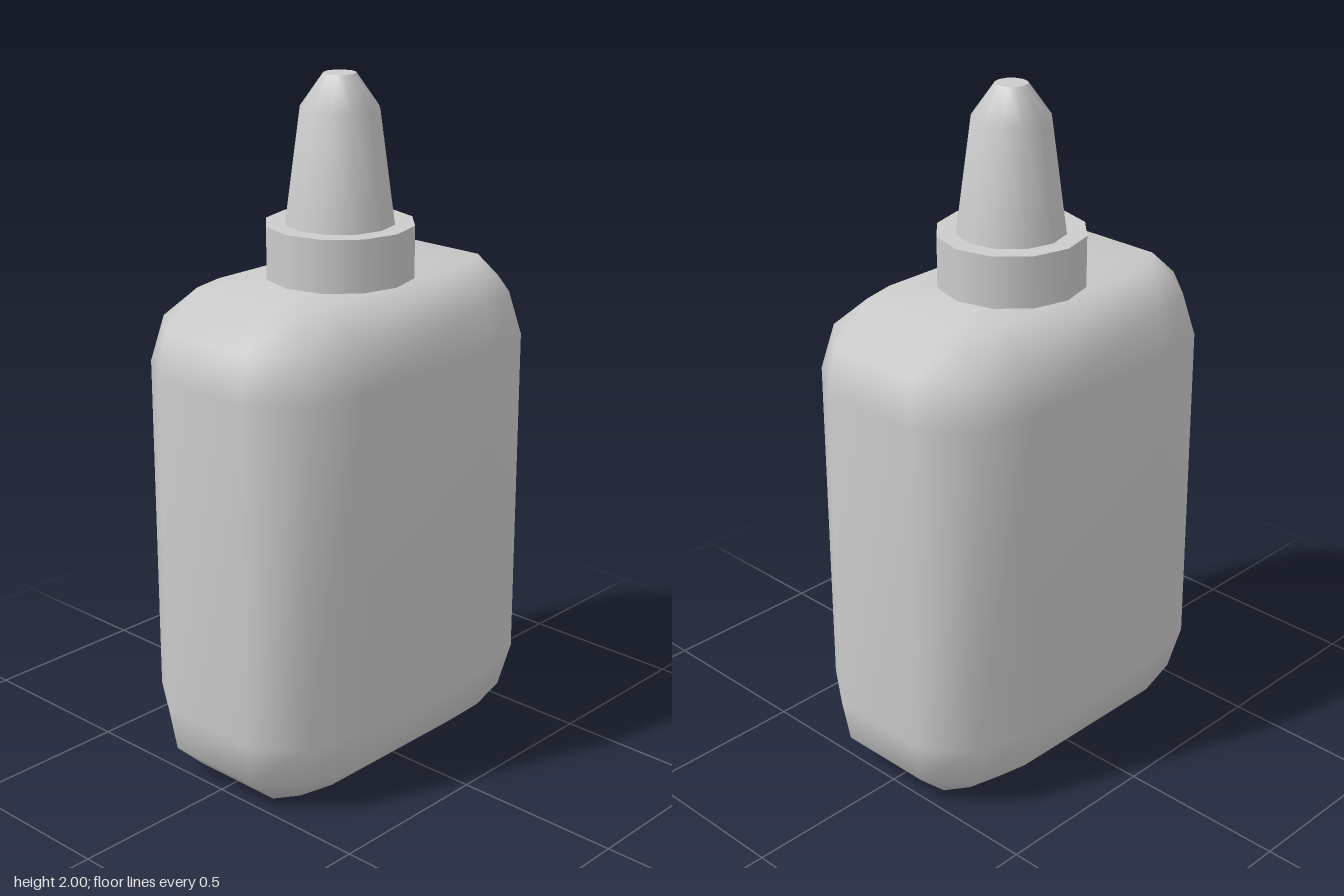
import * as THREE from 'three';

const grey = new THREE.MeshStandardMaterial({ color: 0xcccccc });

// Mirror one quarter of an outline into a closed ring, anticlockwise from above
function ring(quarter) {
  const back = [...quarter].reverse();
  return [
    ...quarter.map(([x, z]) => [x, -z]),
    ...back.map(([x, z]) => [-x, -z]),
    ...quarter.map(([x, z]) => [-x, z]),
    ...back.map(([x, z]) => [x, z]),
  ];
}

// Closed smooth solid through stacked rings
function loft(levels) {
  const n = levels[0].ring.length;
  const pos = [];
  const index = [];
  for (const { y, ring } of levels) for (const [x, z] of ring) pos.push(x, y, z);
  for (let r = 0; r < levels.length - 1; r++) {
    for (let i = 0; i < n; i++) {
      const j = (i + 1) % n;
      const a = r * n + i, b = r * n + j;
      index.push(a, b, b + n, a, b + n, a + n);
    }
  }
  // end caps fan out from a centre point
  const bottom = pos.length / 3, top = bottom + 1, last = (levels.length - 1) * n;
  pos.push(0, levels[0].y, 0, 0, levels[levels.length - 1].y, 0);
  for (let i = 0; i < n; i++) {
    const j = (i + 1) % n;
    index.push(bottom, j, i, top, last + i, last + j);
  }
  const geo = new THREE.BufferGeometry();
  geo.setAttribute('position', new THREE.Float32BufferAttribute(pos, 3));
  geo.setIndex(index);
  geo.computeVertexNormals();
  return geo;
}

export function createModel() {
  const group = new THREE.Group();
  const add = (name, geometry, y = 0) => {
    const mesh = new THREE.Mesh(geometry, grey);
    mesh.name = name;
    mesh.position.y = y;
    group.add(mesh);
    return mesh;
  };

  // Bottle body: full outline, with two smaller rings rounding each end
  const full = ring([[0.55, 0.16], [0.45, 0.3], [0.27, 0.34]]);
  const shoulder = ring([[0.53, 0.15], [0.42, 0.275], [0.27, 0.315]]);
  const end = ring([[0.435, 0.145], [0.37, 0.19], [0.265, 0.215]]);
  add('bottleBody', loft([
    { y: 0, ring: end },
    { y: 0.09, ring: shoulder },
    { y: 0.22, ring: full },
    { y: 1.22, ring: full },
    { y: 1.35, ring: shoulder },
    { y: 1.435, ring: end },
  ]));

  // Cap collar
  add('capCollar', new THREE.CylinderGeometry(0.213, 0.213, 0.155, 12), 1.5075);

  // Tapered nozzle with a flat tip
  const profile = [[0.157, 1.58], [0.113, 1.905], [0.046, 2]].map(([r, y]) => new THREE.Vector2(r, y));
  add('nozzle', new THREE.LatheGeometry(profile, 12));
  add('nozzleTip', new THREE.CircleGeometry(0.046, 12).rotateX(-Math.PI / 2), 2);

  return group;
}
